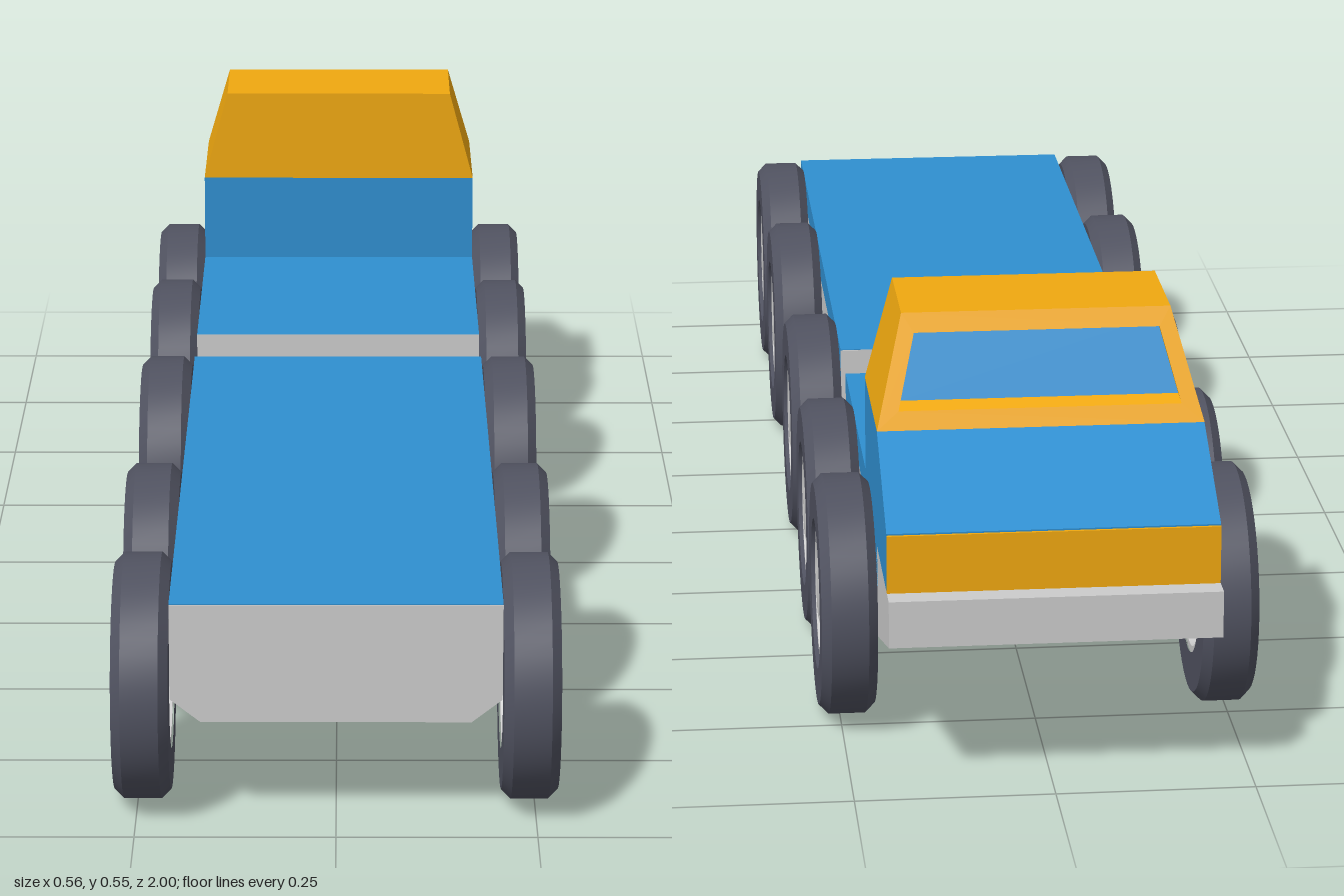
import * as THREE from 'three';
import { toCreasedNormals } from 'three/addons/utils/BufferGeometryUtils.js';

const HALF = 0.206; // half width of the bodywork
const mat = (color, opts = {}) => new THREE.MeshStandardMaterial({ color, ...opts });

export function createModel() {
  const grey = mat(0xcccccc);
  const blue = mat(0x2f8fd0);
  const orange = mat(0xf0a810, { flatShading: true });
  const rubber = mat(0x505260);
  const model = new THREE.Group();

  const add = (parent, name, geometry, material) => {
    const mesh = new THREE.Mesh(geometry, material);
    mesh.name = name;
    parent.add(mesh);
    return mesh;
  };
  const shapeOf = pts => new THREE.Shape(pts.map(p => new THREE.Vector2(...p)));

  // Side profile given as [z, y], extruded across the full width
  const acrossWidth = pts => new THREE.ExtrudeGeometry(
    shapeOf(pts.map(([z, y]) => [-z, y])), { depth: 2 * HALF, bevelEnabled: false }
  ).translate(0, 0, -HALF).rotateY(Math.PI / 2);

  // Box between two z positions and two heights
  const slab = (z0, z1, y0, y1) => new THREE.BoxGeometry(2 * HALF, y1 - y0, z1 - z0)
    .translate(0, (y0 + y1) / 2, (z0 + z1) / 2);

  // Chassis with chamfered lower edges, blue deck and grey end faces
  function flatbed(name, z0, z1) {
    const bed = new THREE.Group();
    bed.name = name;
    const section = shapeOf([[-0.168, 0.135], [0.168, 0.135], [HALF, 0.165],
      [HALF, 0.25], [-HALF, 0.25], [-HALF, 0.165]]);
    add(bed, 'chassis', new THREE.ExtrudeGeometry(section,
      { depth: z1 - z0, bevelEnabled: false }).translate(0, 0, z0), grey);
    add(bed, 'deck', slab(z0 + 0.002, z1 - 0.002, 0.25, 0.29), blue);
    add(bed, 'frontEndPlate', slab(z0, z0 + 0.002, 0.25, 0.289), grey);
    add(bed, 'rearEndPlate', slab(z1 - 0.002, z1, 0.25, 0.289), grey);
    model.add(bed);
  }
  flatbed('trailer', -0.07, 0.955);
  flatbed('tractorBed', -0.587, -0.177);

  // Cab: lower body with sloping hood, nose panel, floor and bumper
  const cab = new THREE.Group();
  cab.name = 'cab';
  model.add(cab);
  add(cab, 'lowerCab', acrossWidth([[-0.587, 0.139], [-0.8, 0.139], [-0.8, 0.26],
    [-0.966, 0.26], [-0.966, 0.336], [-0.808, 0.416], [-0.587, 0.416]]), blue);
  add(cab, 'nosePanel', slab(-0.97, -0.966, 0.26, 0.334), orange);
  add(cab, 'floorAndBumper', acrossWidth([[-0.587, 0.135], [-0.785, 0.135], [-1, 0.2],
    [-1, 0.26], [-0.8, 0.26], [-0.8, 0.139], [-0.587, 0.139]]), grey);

  // Upper cab: four-cornered loops from the rear wall forward, then into the window recess
  const loop = (zLow, yLow, wLow, zTop, yTop, wTop) =>
    [[-wLow, yLow, zLow], [wLow, yLow, zLow], [wTop, yTop, zTop], [-wTop, yTop, zTop]];
  const loops = [
    loop(-0.587, 0.416, HALF, -0.587, 0.549, 0.17),
    loop(-0.81, 0.416, HALF, -0.742, 0.549, 0.17),
    loop(-0.799, 0.438, 0.178, -0.754, 0.526, 0.155),
    loop(-0.781, 0.446, 0.176, -0.736, 0.534, 0.153),
  ];
  const quads = list => {
    const geometry = new THREE.BufferGeometry();
    const corners = list.flatMap(([a, b, c, d]) => [a, b, c, a, c, d]).flat();
    geometry.setAttribute('position', new THREE.Float32BufferAttribute(corners, 3));
    geometry.computeVertexNormals();
    return geometry;
  };
  const shell = [loops[0]];
  for (let i = 0; i < 3; i++) {
    for (let j = 0; j < 4; j++) {
      const k = (j + 1) % 4;
      shell.push([loops[i][j], loops[i + 1][j], loops[i + 1][k], loops[i][k]]);
    }
  }
  add(cab, 'upperCab', quads(shell), orange);
  add(cab, 'windscreen', quads([[...loops[3]].reverse()]), blue);

  // Wheels: chamfered tyre and a dished hub with a raised cap
  const turned = pts => toCreasedNormals(
    new THREE.LatheGeometry(pts.map(p => new THREE.Vector2(...p)), 48), 0.5
  ).rotateZ(-Math.PI / 2);
  const tyre = turned([[0.092, 0], [0.143, 0], [0.155, 0.012], [0.155, 0.059],
    [0.143, 0.071], [0.097, 0.071], [0.092, 0.065]]);
  const hub = turned([[0, 0.03], [0.08, 0.03], [0.084, 0.002], [0.093, 0.002],
    [0.093, 0.066], [0.086, 0.066], [0.081, 0.058], [0.054, 0.058],
    [0.048, 0.064], [0.03, 0.068], [0, 0.069]]);
  for (const z of [0.845, 0.495, 0.018, -0.37, -0.68]) {
    for (const side of [1, -1]) {
      const wheel = new THREE.Group();
      wheel.name = side > 0 ? 'leftWheel' : 'rightWheel';
      add(wheel, 'tyre', tyre, rubber);
      add(wheel, 'hub', hub, grey);
      wheel.position.set(side * 0.207, 0.155, z);
      if (side < 0) wheel.rotation.y = Math.PI;
      model.add(wheel);
    }
  }
  return model;
}
